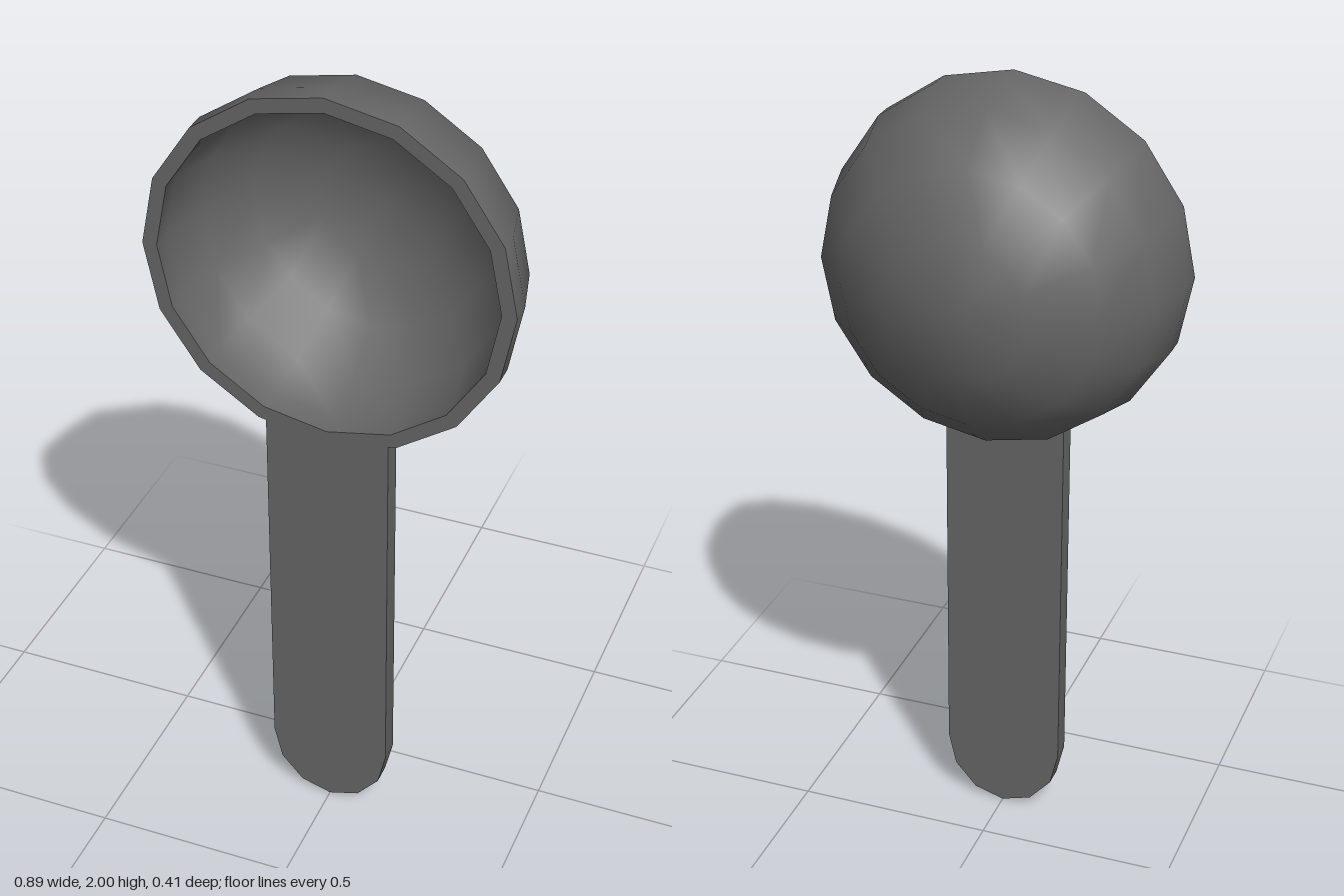
import * as THREE from 'three';
import { mergeVertices, toCreasedNormals } from 'three/addons/utils/BufferGeometryUtils.js';

const SIDES = 16, RADIUS = 0.446, DEPTH = 0.354, WALL = 0.92;
const BOWL_Y = 1.554, FRONT = 0.203, LIP = 0.053;

// Bowl profile from the lip to the pole: short straight lip, then a quarter ellipse
function bowlProfile(scale) {
  const points = [new THREE.Vector2(RADIUS * scale, 0)];
  for (let i = 0; i <= 4; i++) {
    const a = (i * Math.PI) / 8;
    const r = i === 4 ? 0 : RADIUS * scale * Math.cos(a);
    points.push(new THREE.Vector2(r, LIP + DEPTH * scale * Math.sin(a)));
  }
  return points;
}

// Revolve a profile around the z axis, with smooth normals across seam and pole
function revolve(points) {
  let geometry = new THREE.LatheGeometry(points, SIDES);
  geometry.deleteAttribute('uv');
  geometry.deleteAttribute('normal');
  geometry = mergeVertices(geometry, 1e-4);
  geometry.computeVertexNormals();
  return geometry.rotateX(-Math.PI / 2);
}

export function createModel() {
  const group = new THREE.Group();
  group.name = 'scoop';
  const material = new THREE.MeshStandardMaterial({ color: 0x666666 });
  const add = (name, geometry, parent) => {
    const mesh = new THREE.Mesh(geometry, material);
    mesh.name = name;
    parent.add(mesh);
    return mesh;
  };

  // Hollow bowl opening to the front
  const bowl = new THREE.Group();
  bowl.name = 'bowl';
  bowl.position.set(0, BOWL_Y, FRONT);
  group.add(bowl);
  add('bowlOutside', revolve(bowlProfile(1)), bowl);
  add('bowlInside', revolve(bowlProfile(WALL).reverse()), bowl);
  add('bowlRim', revolve([
    new THREE.Vector2(RADIUS * WALL, 0),
    new THREE.Vector2(RADIUS, 0),
  ]), bowl);

  // Flat handle with a smoothly rounded lower end; the top follows the bowl's outline
  const half = 0.152, endHeight = 0.172;
  const outline = [
    new THREE.Vector2(half, 1.14),
    new THREE.Vector2(0, BOWL_Y - RADIUS),
    new THREE.Vector2(-half, 1.14),
  ];
  for (let i = 0; i <= 6; i++) {
    const a = Math.PI + (i * Math.PI) / 6;
    outline.push(new THREE.Vector2(half * Math.cos(a), endHeight * (1 + Math.sin(a))));
  }
  const handleGeometry = new THREE.ExtrudeGeometry(new THREE.Shape(outline), {
    depth: LIP, bevelEnabled: false,
  });
  const smoothHandle = toCreasedNormals(handleGeometry, Math.PI / 4);
  add('handle', smoothHandle, group).position.z = FRONT - LIP;

  return group;
}
